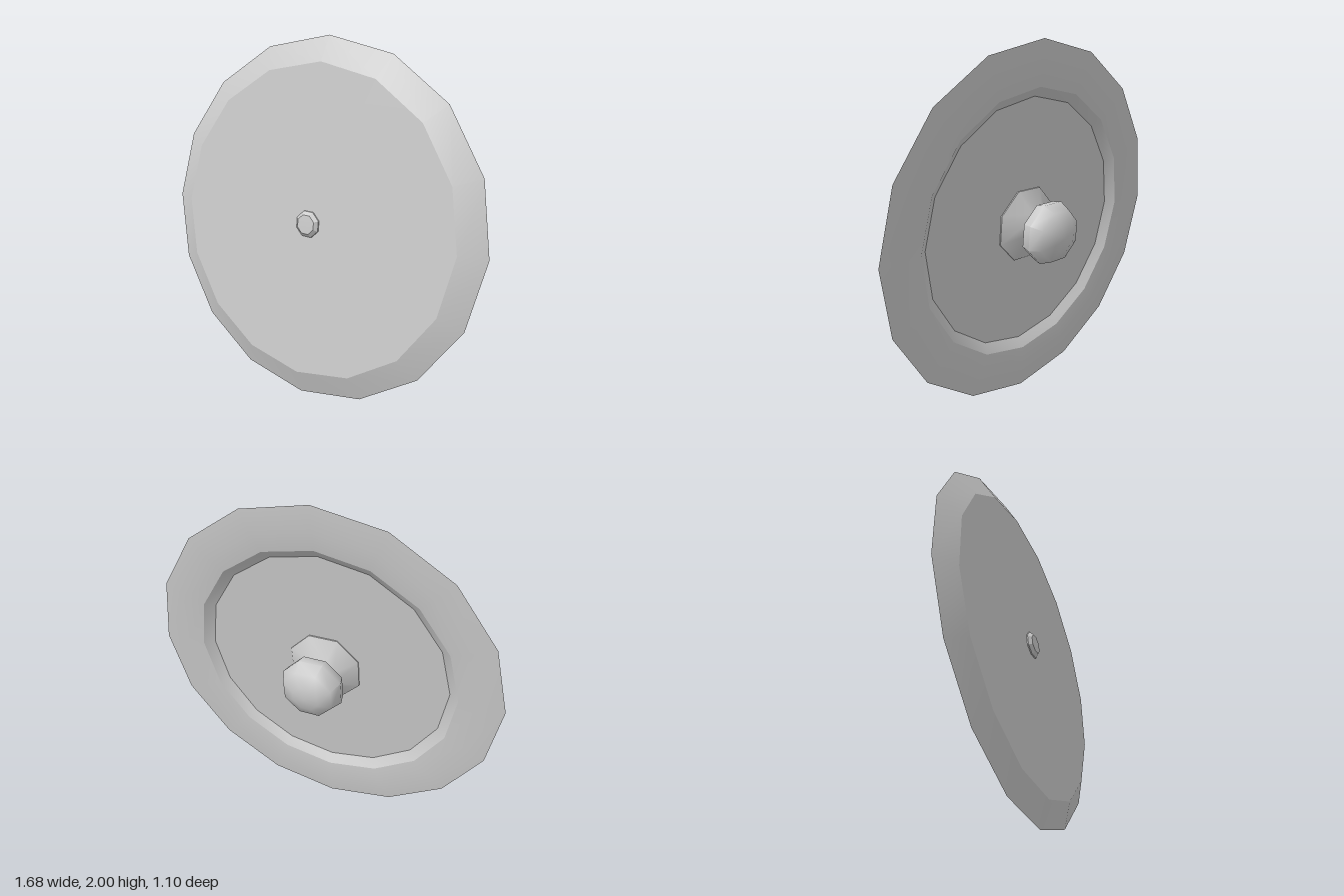
import * as THREE from 'three';
import { toCreasedNormals } from 'three/addons/utils/BufferGeometryUtils.js';

const material = new THREE.MeshStandardMaterial({ color: 0xcccccc });

// Revolves [radius, height] pairs, listed from the knob side to the outer face
function turned(name, profile, sides, phiStart, crease) {
  const points = profile.map(([r, h]) => new THREE.Vector2(r, h));
  let geometry = new THREE.LatheGeometry(points, sides, phiStart);
  if (crease) geometry = toCreasedNormals(geometry, crease);
  const mesh = new THREE.Mesh(geometry, material);
  mesh.name = name;
  return mesh;
}

export function createModel() {
  const lid = new THREE.Group();
  lid.name = 'lid';

  // Round plate: recessed on the knob side, bevelled on the other
  lid.add(turned('plate', [
    [0, 0.042], [0.706, 0.042], [0.76, 0.003], [0.865, -0.008],
    [1.004, 0], [0.865, 0.064], [0, 0.066],
  ], 16, 0, 0.35));

  // Small fastener in the middle of the bevelled side
  lid.add(turned('fastener', [
    [0.077, 0.062], [0.075, 0.072], [0.055, 0.09], [0, 0.092],
  ], 8, Math.PI / 8, 0.5));

  // Knob: domed grip, narrow neck and flared foot
  lid.add(turned('knob', [
    [0, -0.252], [0.075, -0.243], [0.148, -0.208], [0.178, -0.14],
    [0.165, -0.085], [0.09, -0.035], [0.215, 0.035], [0.215, 0.044],
  ], 8, Math.PI / 8, 0.95));

  // Tilt the lid about its centre
  const across = new THREE.Vector3(0.84, -0.02, 0.548).normalize();
  const up = new THREE.Vector3(0.08, 1, -0.08);
  const axis = across.clone().cross(up).normalize();
  const down = across.clone().cross(axis);
  lid.quaternion.setFromRotationMatrix(new THREE.Matrix4().makeBasis(across, axis, down));
  lid.position.y = 1;

  const model = new THREE.Group();
  model.name = 'tiltedLid';
  model.add(lid);
  return model;
}
